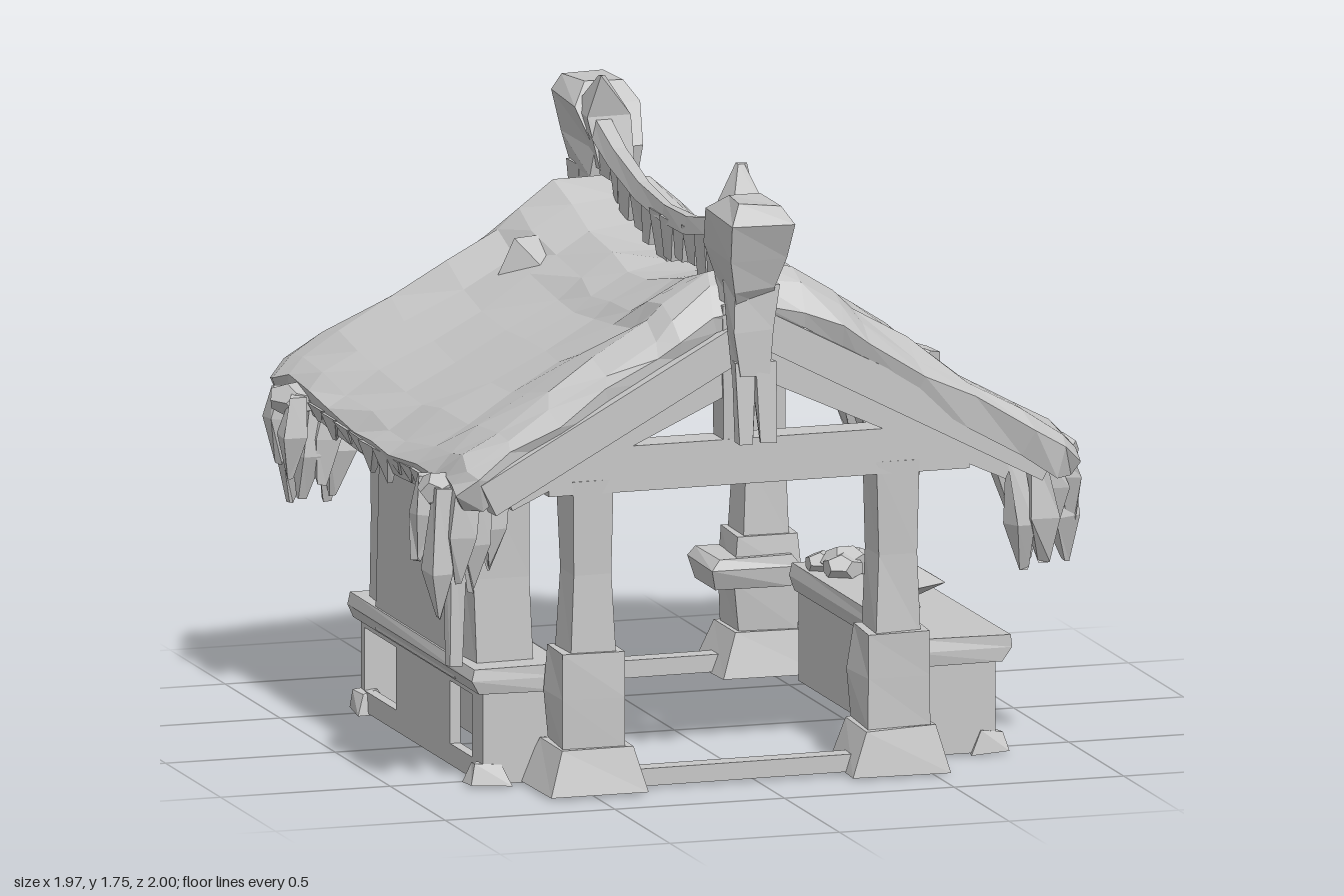
import * as THREE from 'three';

const stone = new THREE.MeshStandardMaterial({ color: 0xc6c6c6 });
stone.name = 'plain grey';

let seed = 7;
const rnd = () => { seed = (seed * 16807) % 2147483647; return seed / 2147483647; };
const jit = (a) => (rnd() - 0.5) * 2 * a;
const V = (x, y, z) => new THREE.Vector3(x, y, z);

export function createModel() {
  seed = 7;
  const root = new THREE.Group();
  root.name = 'marketHut';

  // Faceted mesh from any geometry
  function add(name, geo, parent = root) {
    const g = geo.index ? geo.toNonIndexed() : geo;
    g.computeVertexNormals();
    const m = new THREE.Mesh(g, stone);
    m.name = name;
    parent.add(m);
    return m;
  }

  // Closed solid through rings with an equal, even number of points
  function loft(name, rings, parent) {
    const tris = [], n = rings[0].length;
    const quad = (a, b, c, d) => tris.push([a, b, c], [a, c, d]);
    for (let k = 0; k + 1 < rings.length; k++)
      for (let i = 0; i < n; i++) {
        const j = (i + 1) % n;
        quad(rings[k][i], rings[k][j], rings[k + 1][j], rings[k + 1][i]);
      }
    const first = rings[0], last = rings[rings.length - 1];
    for (let i = 0; i < n / 2 - 1; i++) {
      quad(first[n - 1 - i], first[n - 2 - i], first[i + 1], first[i]);
      quad(last[i], last[i + 1], last[n - 2 - i], last[n - 1 - i]);
    }
    let vol = 0;
    for (const [a, b, c] of tris) vol += a.dot(b.clone().cross(c));
    const pos = [];
    for (const t of tris) for (const p of vol < 0 ? [t[2], t[1], t[0]] : t) pos.push(p.x, p.y, p.z);
    const g = new THREE.BufferGeometry();
    g.setAttribute('position', new THREE.Float32BufferAttribute(pos, 3));
    return add(name, g, parent);
  }

  // Upright piece from sections [y, centreX, centreZ, width, depth]
  const post = (name, secs, j = 0.008, parent) => loft(name, secs.map(([y, x, z, w, d]) =>
    [[-1, -1], [1, -1], [1, 1], [-1, 1]].map(([a, b]) =>
      V(x + a * w / 2 + jit(j), y + jit(j / 2), z + b * d / 2 + jit(j)))), parent);

  // Straight beam with a rectangular section
  function beam(name, a, b, h, w, parent) {
    const dir = b.clone().sub(a).normalize();
    const side = dir.clone().cross(V(0, 1, 0)).normalize(), up = side.clone().cross(dir);
    return loft(name, [a, b].map((p) => [[-1, -1], [1, -1], [1, 1], [-1, 1]].map(([s, u]) =>
      p.clone().addScaledVector(side, s * w / 2).addScaledVector(up, u * h / 2))), parent);
  }

  // Irregular lump
  function rock(name, x, y, z, sx, sy, sz, parent) {
    const g = new THREE.DodecahedronGeometry(1, 0);
    g.scale(sx, sy, sz);
    g.rotateY(rnd() * 3);
    g.translate(x, y, z);
    return add(name, g, parent);
  }

  // Corner posts on flared feet with plinths
  for (const [x, z] of [[-0.49, 0.7], [0.41, 0.7], [-0.43, -0.72], [0.48, -0.72]]) {
    post('postFoot', [[0.03, x, z, 0.29, 0.27], [0.16, x, z, 0.21, 0.2], [0.16, x, z, 0.18, 0.17],
      [0.3, x, z, 0.19, 0.18], [0.43, x, z, 0.18, 0.17]]);
    post('post', [[0.42, x, z, 0.13, 0.14], [0.65, x, z, 0.115, 0.125], [0.92, x, z, 0.12, 0.14]], 0.004);
  }
  // Collars on the back plinths
  for (const x of [-0.43, 0.44])
    post('collar', [[0.28, x, -0.72, 0.22, 0.2], [0.34, x, -0.72, 0.26, 0.24], [0.37, x, -0.72, 0.22, 0.2]]);

  // Sills, tie beams and rafters of both gables
  for (const z of [0.72, -0.72]) {
    beam('sill', V(-0.45, 0.055, z), V(0.44, 0.06, z), 0.05, 0.06);
    beam('tieBeam', V(-0.62, 0.945, z), V(0.62, 0.95, z), 0.13, 0.1);
    for (const s of [-1, 1]) {
      beam('rafter', V(0, 1.27, z), V(s * 0.76, 0.92, z), 0.16, 0.1);
      beam('outerRafter', V(0, 1.33, z * 1.07), V(s * 0.83, 0.9, z * 1.16), 0.1, 0.06);
    }
  }

  // Sagging thatch roof with rounded gable ends
  const prof = [[0, 1.49], [0.13, 1.47], [0.24, 1.4], [0.3, 1.34], [0.45, 1.25], [0.6, 1.155], [0.75, 1.07], [0.85, 1.0], [0.9, 0.95]];
  const ts = [-1, -0.93, -0.83, -0.65, -0.45, -0.2, 0, 0.2, 0.45, 0.65, 0.83, 0.93, 1];
  const xs = [...prof.slice(1).reverse().map(([x, y]) => [-x, y]), ...prof];
  const rings = ts.map((t) => {
    const drop = Math.abs(t) === 1 ? 0.1 : Math.abs(t) > 0.9 ? 0.04 : 0;
    const top = [], under = [];
    for (const [x, y] of xs) {
      const a = Math.abs(x) / 0.9, lip = a > 0.99;
      const z = t * (0.8 + 0.09 * Math.min(1, a * a * 1.2) + 0.03 * a * Math.sign(x * t) - (lip ? 0.03 : 0));
      const mid = (0.13 - 0.08 * a) * Math.max(0, 1 - (t / 0.83) ** 2);
      const flare = 1 + 0.03 * (t * t - 0.5);
      const d = drop * (1 - 0.6 * a);
      top.push(V(x * flare + jit(0.012), y - mid - d + jit(0.014), z + jit(0.015)));
      under.unshift(V(x * 0.97 * flare, y - mid - (lip ? 0.07 : 0.12) - d * 0.3, z * 0.98));
    }
    return [...top, ...under];
  });
  loft('thatchRoof', rings);

  // Flaps lifted out of the thatch
  for (const s of [-1, 1]) {
    const flap = add('roofFlap', new THREE.ConeGeometry(0.12, 0.07, 4));
    flap.position.set(s * 0.29, 1.325, -0.5);
    flap.rotation.z = -s * 0.6;
  }

  // Ragged eave fringe
  for (const s of [-1, 1]) for (let i = 0; i < 14; i++) {
    const z = -0.75 + i * 0.115, h = 0.01 + rnd() * 0.05, y = 0.86 + 0.05 * z * z;
    post('eaveFringe', [[y - h, s * 0.865, z + jit(0.03), 0.01, 0.02], [y + 0.03, s * 0.87, z, 0.04, 0.13]], 0.004);
  }

  // Hanging leaf clumps under the four roof corners
  for (const sx of [-1, 1]) for (const sz of [-1, 1]) {
    const clump = new THREE.Group();
    clump.name = 'leafClump';
    root.add(clump);
    for (let i = 0; i < 8; i++) {
      const x = sx * (0.78 + (i % 4) * 0.048), z = sz * (0.61 + (i >> 2) * 0.11 + jit(0.05) + (sz < 0 ? 0.03 : 0));
      const y1 = 0.54 + rnd() * 0.18, lean = sx * 0.015;
      post('leaf', [[y1, x + lean, z, 0.012, 0.012], [y1 + 0.13, x, z, 0.075, 0.08],
        [0.92, x - lean, z, 0.05, 0.05]], 0.014, clump);
    }
    rock('leafKnot', sx * 0.91, 0.9, sz * 0.66, 0.06, 0.05, 0.09, clump);
  }
  post('longStrand', [[0.38, -0.845, 0.6, 0.03, 0.02], [0.88, -0.83, 0.6, 0.06, 0.04]]);
  post('backStrand', [[0.58, 0.86, -0.9, 0.01, 0.01], [0.72, 0.86, -0.87, 0.05, 0.06], [0.92, 0.84, -0.85, 0.05, 0.06]]);

  // Sagging ridge pole with ragged flags
  const ridgeY = (z) => 1.52 + 0.25 * z * z;
  loft('ridgePole', [-0.72, -0.5, -0.25, 0, 0.25, 0.5, 0.72].map((z) => {
    const x = -0.02 - 0.04 * z, w = 0.018 + 0.03 * Math.abs(z), y = ridgeY(z);
    return [V(x - w, y - 0.04, z), V(x + w, y - 0.04, z), V(x + w * 0.6, y + 0.01, z), V(x - w * 0.6, y + 0.01, z)];
  }));
  for (let i = 0; i < 12; i++) {
    const z = -0.61 + i * 0.111, y = ridgeY(z), h = 0.12 + rnd() * 0.05;
    post('ridgeFlag', [[y - h, -0.02 - 0.04 * z, z + jit(0.02), 0.025, 0.07 + jit(0.02)],
      [y - 0.02, -0.02 - 0.04 * z, z, 0.035, 0.115]], 0.005);
  }

  // Carved ridge ends with hanging gable boards
  for (const [s, x] of [[1, -0.06], [-1, 0.05]]) {
    const finial = new THREE.Group();
    finial.name = 'ridgeEnd';
    root.add(finial);
    post('ridgeHead', [[1.41, x, s * 0.83, 0.11, 0.13], [1.47, x, s * 0.81, 0.13, 0.24],
      [1.56, x, s * 0.82, 0.15, 0.28], [1.67, x, s * 0.87, 0.18, 0.26], [1.72, x, s * 0.89, 0.11, 0.16]], 0.015, finial);
    post('ridgeHorn', [[1.5, x + s * 0.01, s * 0.71, 0.1, 0.16], [1.65, x + s * 0.03, s * 0.74, 0.12, 0.15],
      [1.77, x + s * 0.05, s * 0.65, 0.02, 0.02]], 0.008, finial);
    post('gableBoard', [[1.22, x, s * 0.895, 0.1, 0.05], [1.35, x, s * 0.89, 0.12, 0.07],
      [1.48, x, s * 0.87, 0.13, 0.1]], 0.008, finial);
    for (const k of [-1, 1])
      post('boardProng', [[s > 0 ? 1.03 : 1.13, x + k * 0.035, s * 0.92, 0.04, 0.04],
        [1.26, x + k * 0.03, s * 0.895, 0.055, 0.05]], 0.006, finial);
    post('kingPost', [[1.0, x, s * 0.72, 0.09, 0.09], [1.4, x, s * 0.74, 0.11, 0.1]], 0.005, finial);
  }

  // Hollow counters with two openings in the outer panel
  for (const s of [-1, 1]) {
    const counter = new THREE.Group();
    counter.name = s > 0 ? 'leftCounter' : 'rightCounter';
    root.add(counter);
    const rect = (P, a, b, c, d) => new P([[a, b], [c, b], [c, d], [a, d]].map(([p, q]) => new THREE.Vector2(p, q)));
    const panel = rect(THREE.Shape, -0.52, 0.03, 0.59, 0.31);
    panel.holes.push(rect(THREE.Path, 0.29, 0.09, 0.49, 0.27), rect(THREE.Path, -0.49, 0.09, -0.2, 0.27));
    const outer = new THREE.ExtrudeGeometry(panel, { depth: 0.03, bevelEnabled: false });
    outer.rotateY(-Math.PI / 2);
    outer.translate(s * 0.74 + 0.015, 0, 0);
    add('outerPanel', outer, counter);
    post('innerPanel', [[0.03, s * 0.55, 0.03, 0.03, 1.1], [0.31, s * 0.55, 0.03, 0.03, 1.1]], 0, counter);
    for (const z of [0.575, -0.505])
      post('endPanel', [[0.03, s * 0.65, z, 0.21, 0.03], [0.31, s * 0.65, z, 0.2, 0.03]], 0, counter);
    post('counterTop', [[0.29, s * 0.65, 0.035, 0.24, 1.14], [0.33, s * 0.655, 0.035, 0.28, 1.15],
      [0.365, s * 0.655, 0.035, 0.27, 1.13]], 0.006, counter);
    for (const z of [0.57, -0.5])
      post('counterFoot', [[0.03, s * 0.74, z, 0.1, 0.09], [0.09, s * 0.74, z, 0.06, 0.06]], 0.012, counter);
  }

  // Back wall and its posts above the right counter
  post('wallPanel', [[0.3, -0.765, 0.045, 0.03, 0.72], [0.92, -0.75, 0.045, 0.03, 0.72]], 0);
  for (const z of [0.46, -0.4])
    post('wallPost', [[0.33, -0.67, z, 0.17, 0.12], [0.6, -0.675, z, 0.16, 0.1], [0.92, -0.67, z, 0.15, 0.11]], 0.006);

  // Goods on the counters
  const lamp = add('lampCap', new THREE.ConeGeometry(0.11, 0.06, 6));
  lamp.position.set(0.54, 0.535, 0.45);
  const lampBase = add('lampUnderside', new THREE.CylinderGeometry(0.11, 0.03, 0.04, 6));
  lampBase.position.set(0.54, 0.485, 0.45);
  post('lampStem', [[0.35, 0.54, 0.45, 0.05, 0.05], [0.48, 0.54, 0.45, 0.03, 0.03]]);
  for (const [x, z, r] of [[0.6, -0.32, 0.06], [0.66, -0.4, 0.06], [0.57, -0.42, 0.05], [0.62, -0.36, 0.07], [0.63, 0.2, 0.03],
    [-0.62, 0.12, 0.05], [-0.6, 0.02, 0.06], [-0.58, -0.14, 0.03]])
    rock('goods', x, 0.36 + r * 0.5, z, r, r * 0.7, r, root);

  return root;
}
